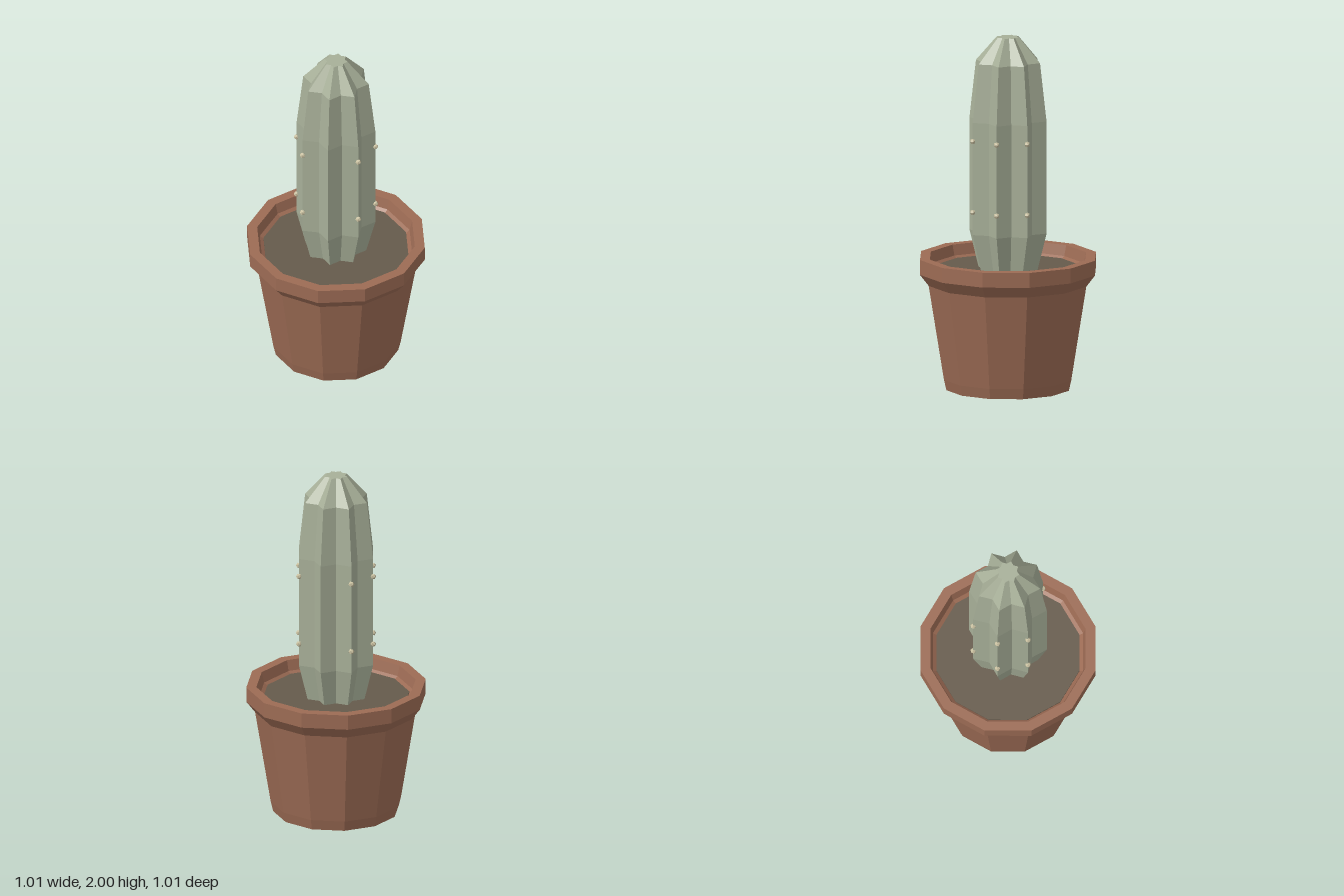
import * as THREE from 'three';

const colour = (name, hex) => {
  const m = new THREE.MeshStandardMaterial({ color: hex });
  m.name = name;
  return m;
};

// Separate faces give the faceted low-poly look
function faceted(geometry) {
  const g = geometry.index ? geometry.toNonIndexed() : geometry;
  g.computeVertexNormals();
  return g;
}

const profile = (pairs) => pairs.map(([r, y]) => new THREE.Vector2(r, y));

// Star-shaped column: every second lathe column is pulled in to form a valley
function ribbedColumn(pairs, ribs, valley) {
  const g = new THREE.LatheGeometry(profile(pairs), ribs * 2);
  const pos = g.attributes.position;
  for (let i = 0; i < pos.count; i++) {
    if (Math.floor(i / pairs.length) % 2 === 1) {
      pos.setX(i, pos.getX(i) * valley);
      pos.setZ(i, pos.getZ(i) * valley);
    }
  }
  return faceted(g);
}

export function createModel() {
  const group = new THREE.Group();
  group.name = 'pottedCactus';

  const terracotta = colour('terracotta', 0x9c6b54);
  const earth = colour('earth', 0x655a4b);
  const green = colour('cactusGreen', 0xa7af98);
  const cream = colour('spineCream', 0xc9c0a0);

  const add = (name, geometry, material, parent = group) => {
    const mesh = new THREE.Mesh(geometry, material);
    mesh.name = name;
    parent.add(mesh);
    return mesh;
  };

  // Twelve-sided pot with a flared rim and an inner wall
  add('pot', faceted(new THREE.LatheGeometry(profile([
    [0, 0], [0.355, 0], [0.369, 0.06], [0.457, 0.6], [0.507, 0.665],
    [0.507, 0.75], [0.45, 0.75], [0.435, 0.69], [0.41, 0.67],
  ]), 12)), terracotta);

  // Soil surface
  add('soil', faceted(new THREE.LatheGeometry(profile([
    [0.414, 0.66], [0.414, 0.68], [0, 0.68],
  ]), 12)), earth);

  // Eight-ribbed cactus body
  add('cactusBody', ribbedColumn([
    [0.17, 0.67], [0.225, 0.89], [0.225, 1.53], [0.187, 1.86], [0.066, 2], [0, 2],
  ], 8, 0.76), green);

  // Spine buds in two rows along the ribs, none on the front and back ribs
  const spines = new THREE.Group();
  spines.name = 'spines';
  group.add(spines);
  const bud = faceted(new THREE.IcosahedronGeometry(0.017, 0));
  for (const y of [1.02, 1.425]) {
    for (let i = 0; i < 8; i++) {
      if (i % 4 === 2) continue;
      const a = (i * Math.PI) / 4;
      add('spineBud', bud, cream, spines)
        .position.set(0.225 * Math.cos(a), y, 0.225 * Math.sin(a));
    }
  }

  return group;
}
